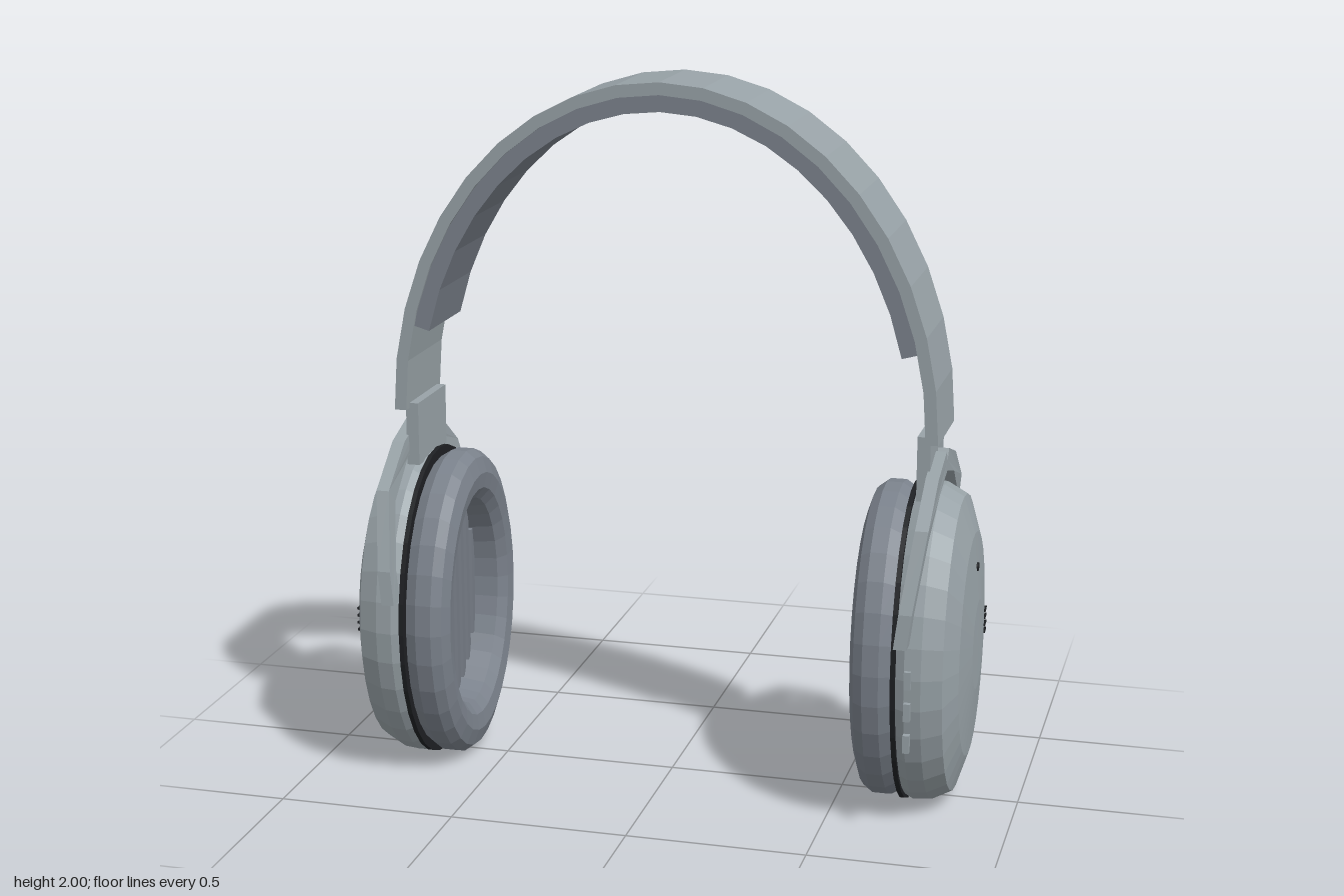
import * as THREE from 'three';

const CY = 0.457, RY = 0.457, RZ = 0.34; // ear cup ellipse

const mat = (name, color) => {
  const m = new THREE.MeshStandardMaterial({ color });
  m.name = name;
  return m;
};

function flat(geo) {
  const g = geo.index ? geo.toNonIndexed() : geo;
  g.computeVertexNormals();
  return g;
}

function add(parent, name, geo, material, x = 0, y = 0, z = 0) {
  const m = new THREE.Mesh(geo, material);
  m.name = name;
  m.position.set(x, y, z);
  parent.add(m);
  return m;
}

// Elliptical turned part along x; profile points are [radius scale, x]
function ovalLathe(profile, segments = 32) {
  const g = new THREE.LatheGeometry(profile.map(p => new THREE.Vector2(p[0], p[1])), segments);
  g.rotateZ(-Math.PI / 2);
  g.scale(1, RY, RZ);
  g.translate(0, CY, 0);
  return flat(g);
}

// Curved strip between two half ellipses, extruded along z
function archStrip(a, b, thickness, start, width, segments) {
  const pts = [];
  const arc = (ra, rb, i) => {
    const t = start + (Math.PI - 2 * start) * i / segments;
    pts.push(new THREE.Vector2(ra * Math.cos(t), 1.055 + rb * Math.sin(t)));
  };
  for (let i = 0; i <= segments; i++) arc(a, b, i);
  for (let i = segments; i >= 0; i--) arc(a - thickness, b - thickness, i);
  const g = new THREE.ExtrudeGeometry(new THREE.Shape(pts), { depth: width, bevelEnabled: false });
  g.translate(0, 0, -width / 2);
  return g;
}

// Arched fork whose legs lean in towards the cup
function yokeGeometry() {
  const outer = [[0.375, 0.555], [0.368, 0.65], [0.29, 0.86], [0.15, 0.965]];
  const inner = [[0.325, 0.555], [0.322, 0.64], [0.255, 0.82], [0.125, 0.915]];
  const mirror = list => list.map(([x, y]) => [-x, y]).reverse();
  const pts = [...outer, [0.02, 1.008], [0, 0.98], [-0.02, 1.008], ...mirror(outer),
    ...mirror(inner).reverse(), [0, 0.95], ...inner.slice().reverse()];
  const g = new THREE.ExtrudeGeometry(new THREE.Shape(pts.map(p => new THREE.Vector2(...p))),
    { depth: 0.036, bevelEnabled: false });
  g.rotateY(Math.PI / 2);
  const p = g.attributes.position;
  for (let i = 0; i < p.count; i++) {
    const t = THREE.MathUtils.clamp((0.88 - p.getY(i)) / 0.32, 0, 1);
    p.setX(i, p.getX(i) + 0.74 - 0.04 * t);
  }
  return flat(g);
}

function createSide(shell, cushion, dark) {
  const side = new THREE.Group();

  add(side, 'cupShell', ovalLathe([[0, 0.7], [0.97, 0.7], [1, 0.725], [0.99, 0.77], [0.925, 0.825],
    [0.7, 0.858], [0.28, 0.874], [0, 0.875]]), shell);
  add(side, 'cupSeam', ovalLathe([[0, 0.688], [1, 0.688], [1, 0.701], [0, 0.701]]), dark);
  add(side, 'earCushion', ovalLathe([[0.64, 0.687], [0.67, 0.6], [0.74, 0.575], [0.84, 0.568],
    [0.94, 0.583], [0.985, 0.61], [0.985, 0.655], [0.94, 0.687], [0.64, 0.687]]), cushion);
  add(side, 'driverCover', ovalLathe([[0, 0.672], [0.66, 0.672], [0.66, 0.686], [0, 0.686]]), cushion);

  // Slanted slats across the driver cover
  for (let i = -4; i <= 4; i++) {
    const z = i * 0.047;
    const h = 2 * RY * 0.645 * Math.sqrt(Math.max(0, 1 - (z / (RZ * 0.66)) ** 2));
    add(side, 'driverSlat', new THREE.BoxGeometry(0.012, h, 0.047), cushion, 0.668, CY, z)
      .rotation.y = 0.18;
  }

  add(side, 'yoke', yokeGeometry(), shell);
  add(side, 'slider', new THREE.BoxGeometry(0.036, 0.18, 0.23), shell, 0.728, 0.98, 0);

  // Control buttons on the rim
  for (const y of [0.46, 0.37, 0.28])
    add(side, 'button', new THREE.BoxGeometry(0.018, 0.05, 0.018), shell, 0.736, y, 0.341);

  // Indicator dot and microphone holes on the outer face
  const dot = new THREE.CylinderGeometry(0.012, 0.012, 0.008, 10).rotateZ(Math.PI / 2);
  add(side, 'indicator', dot, dark, 0.866, 0.682, 0);
  for (let c = 0; c < 3; c++)
    for (let r = 0; r < 4; r++)
      add(side, 'micHole', new THREE.BoxGeometry(0.008, 0.007, 0.007), dark,
        0.8625 - c * 0.001, 0.425 + r * 0.021, -0.2 - c * 0.016);
  return side;
}

export function createModel() {
  const shell = mat('shellGrey', 0x98a2a7);
  const cushion = mat('cushionGrey', 0x7b828c);
  const dark = mat('seamBlack', 0x1e2023);
  const model = new THREE.Group();
  model.name = 'headphones';

  add(model, 'headband', archStrip(0.77, 0.945, 0.034, 0, 0.28, 20), shell);
  add(model, 'headbandPad', archStrip(0.737, 0.912, 0.047, 0.27, 0.265, 18), cushion);

  // The two sides are half-turn copies of each other
  const left = createSide(shell, cushion, dark);
  left.name = 'leftSide';
  const right = createSide(shell, cushion, dark);
  right.name = 'rightSide';
  right.rotation.y = Math.PI;
  model.add(left, right);
  return model;
}
